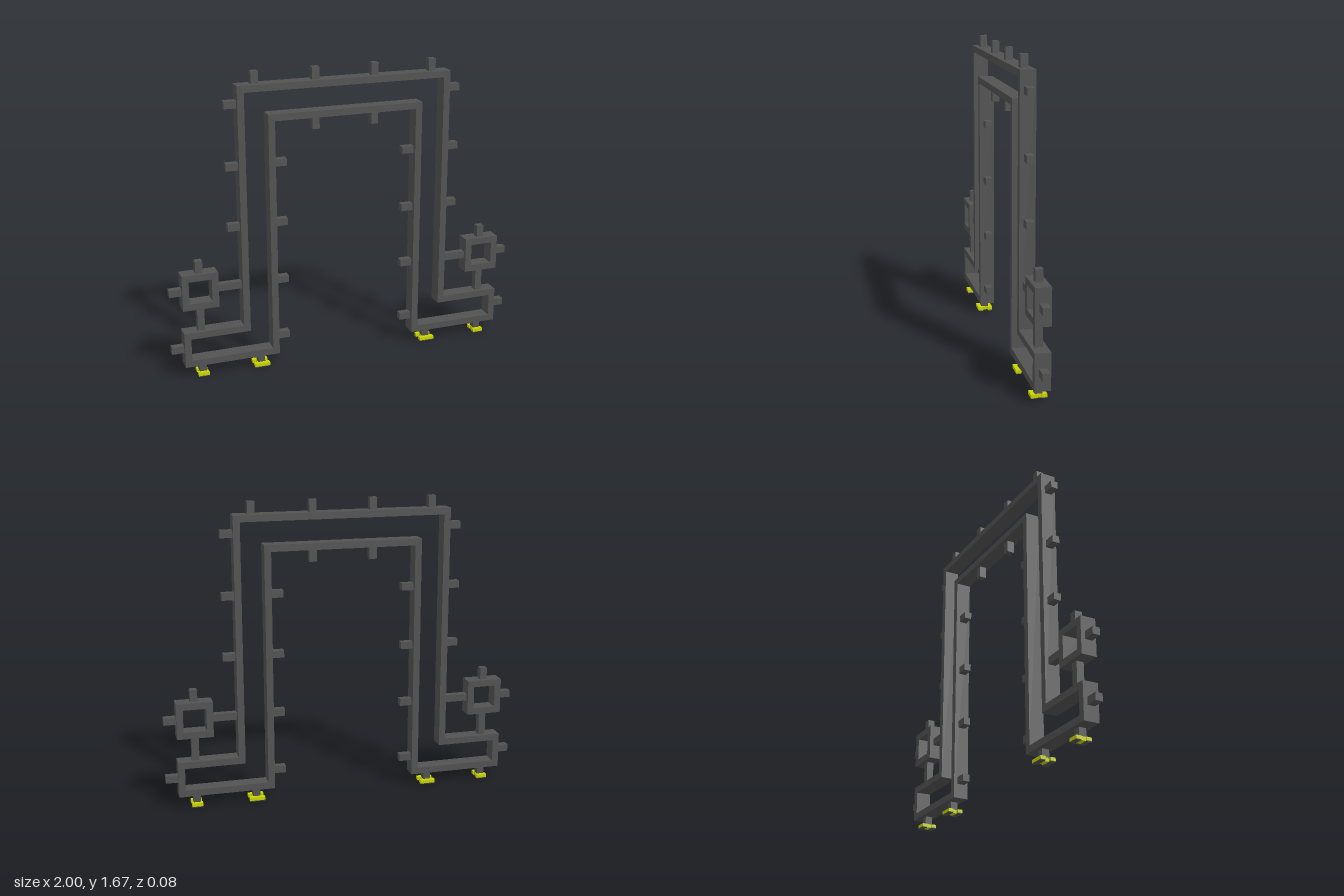
import * as THREE from 'three';

const DEPTH = 0.084; // frame depth
const BAR = 0.037;   // frame bar width
const PEG = 0.04;    // peg cross-section

export function createModel() {
  const model = new THREE.Group();
  model.name = 'arch';
  const grey = new THREE.MeshStandardMaterial({ color: 0x525252 });
  grey.name = 'dark grey';
  const yellow = new THREE.MeshStandardMaterial({ color: 0xc8d400 });
  yellow.name = 'hazard yellow';

  const add = (name, geometry, material = grey) => {
    const mesh = new THREE.Mesh(geometry, material);
    mesh.name = name;
    model.add(mesh);
    return mesh;
  };
  const box = (name, x0, x1, y0, y1, z0, z1, material) =>
    add(name, new THREE.BoxGeometry(x1 - x0, y1 - y0, z1 - z0), material)
      .position.set((x0 + x1) / 2, (y0 + y1) / 2, (z0 + z1) / 2);
  const toPoints = (list) => list.map(([x, y]) => new THREE.Vector2(x, y));

  // Closed outline with an open middle, given as outer and inner corners
  const frame = (name, outer, inner) => {
    const shape = new THREE.Shape(toPoints(outer));
    shape.holes.push(new THREE.Path(toPoints(inner)));
    const geometry = new THREE.ExtrudeGeometry(shape, { depth: DEPTH, bevelEnabled: false });
    geometry.translate(0, 0, -DEPTH / 2);
    add(name, geometry);
  };

  // Stepped arch outline, inset by t
  const archOutline = (t) => {
    const half = [
      [0.4 + t, 1.4 + t], [0.4 + t, 0.067 + t], [0.933 - t, 0.067 + t],
      [0.933 - t, 0.267 - t], [0.6 - t, 0.267 - t], [0.6 - t, 1.6 - t],
    ];
    return [...half, ...half.map(([x, y]) => [-x, y]).reverse()];
  };
  frame('archFrame', archOutline(0), archOutline(BAR));

  // Pegs run along one axis between two ends
  const h = PEG / 2;
  const pegX = (y, x0, x1) => box('sidePeg', x0, x1, y - h, y + h, -h, h);
  const pegY = (x, y0, y1, name = 'uprightPeg') => box(name, x - h, x + h, y0, y1, -h, h);

  for (const s of [1, -1]) {
    const sideX = (y, a, b) => pegX(y, Math.min(s * a, s * b), Math.max(s * a, s * b));

    // Small square frame beside each leg
    const square = (r) => [[-r, -r], [r, -r], [r, r], [-r, r]]
      .map(([x, y]) => [s * 0.833 + x, 0.5 + y]);
    frame('squareFrame', square(0.1), square(0.1 - BAR));

    // Pegs on the outside, the inside and the ends
    for (const y of [0.833, 1.167, 1.5]) sideX(y, 0.6, 0.667);
    for (const y of [0.167, 0.5, 0.833, 1.167]) sideX(y, 0.333, 0.4);
    for (const y of [0.167, 0.5]) sideX(y, 0.933, 1);
    sideX(0.5, 0.6, 0.733);
    pegY(s * 0.833, 0.267, 0.4);
    pegY(s * 0.833, 0.6, 0.667);
    for (const x of [0.167, 0.5]) pegY(s * x, 1.6, 1.667);
    pegY(s * 0.167, 1.333, 1.4);

    // Legs with yellow H-shaped feet
    for (const [x, w] of [[0.5, 0.043], [0.833, 0.03]]) {
      const c = s * x;
      pegY(c, 0.004, 0.067, 'footPeg');
      for (const z of [-0.042, 0.014]) {
        box('footPad', c - w, c + w, 0.004, 0.022, z, z + 0.028, yellow);
        box('footSole', c - w, c + w, 0, 0.004, z, z + 0.028);
      }
      box('footBridge', c - 0.024, c + 0.024, 0.002, 0.022, -0.014, 0.014, yellow);
    }
  }
  return model;
}
